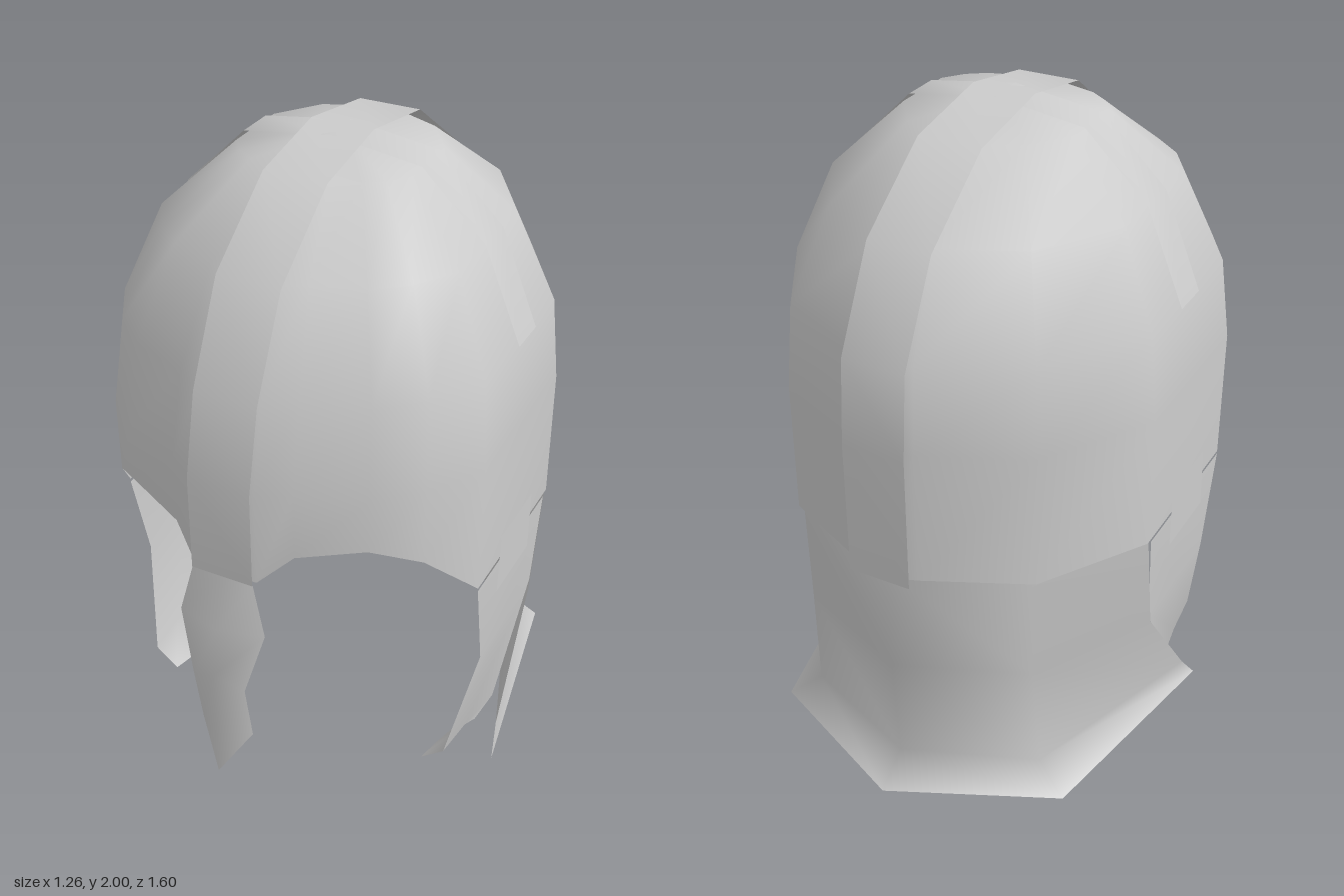
import * as THREE from 'three';
import { mergeVertices } from 'three/addons/utils/BufferGeometryUtils.js';

const metal = new THREE.MeshStandardMaterial({ color: 0xcccccc, side: THREE.DoubleSide });

// Smooth sheet through rows of [x, y, z] points
function sheet(name, rows) {
  const n = rows[0].length, index = [];
  for (let r = 0; r < rows.length - 1; r++) {
    for (let c = 0; c < n - 1; c++) {
      const a = r * n + c, b = a + 1, d = a + n, e = d + 1;
      index.push(a, d, b, b, d, e);
    }
  }
  let geo = new THREE.BufferGeometry();
  geo.setAttribute('position', new THREE.Float32BufferAttribute(rows.flat(2), 3));
  geo.setIndex(index);
  geo = mergeVertices(geo, 1e-4);
  geo.computeVertexNormals();
  const mesh = new THREE.Mesh(geo, metal);
  mesh.name = name;
  return mesh;
}

// Mirror a half row (centre first) to the full width
const mirrorRow = (half) => [...half.slice(1).reverse().map(([x, y, z]) => [-x, y, z]), ...half];

export function createModel() {
  const group = new THREE.Group();
  group.name = 'helmet';

  // Bowl: half plan outline from front to back as [x, z, rim height]
  const plan = [
    [0, 0.715, 0.93], [0.1, 0.705, 0.93], [0.19, 0.65, 1.01], [0.38, 0.58, 1.05],
    [0.5, 0.47, 0.98], [0.6, 0.3, 0.8], [0.6, -0.25, 0.8], [0.4, -0.57, 0.8],
    [0.1, -0.71, 0.8], [0, -0.745, 0.8],
  ];
  const outline = [...plan, ...plan.slice(0, -1).reverse().map(([x, z, y]) => [-x, z, y])];
  // Rings as [height, x scale, front scale, back scale]
  const rings = [
    [1.985, 0, 0, 0], [1.945, 0.45, 0.36, 0.41], [1.755, 0.77, 0.72, 0.77],
    [1.48, 0.958, 0.915, 0.97], [1.22, 1, 1, 1],
  ];
  const bowl = rings.map(([y, sx, sf, sb]) => outline.map(([x, z]) => [x * sx, y, z * (z > 0 ? sf : sb)]));
  bowl.push(outline.map(([x, z, y]) => [x, y, z]));
  group.add(sheet('bowl', bowl));

  // Reinforcing bands over the bowl, front to back and side to side
  const crest = [
    [0.93, 0.725], [1.23, 0.722], [1.48, 0.665], [1.76, 0.525], [1.95, 0.265], [2, -0.01],
    [1.95, -0.315], [1.76, -0.585], [1.48, -0.733], [1.22, -0.755], [0.8, -0.755],
  ];
  group.add(sheet('crestBand', crest.map(([y, z]) => [[-0.097, y, z], [0.097, y, z]])));
  const arch = [[0.586, 1.48], [0.47, 1.765], [0.275, 1.953], [0, 1.992], [-0.275, 1.953], [-0.47, 1.765], [-0.586, 1.48]];
  group.add(sheet('crossBand', arch.map(([x, y]) => [[x, y, -0.065], [x, y, 0.06]])));

  // Nose guard with a raised centre ridge, [edge x, edge y, edge z, ridge y, ridge z]
  const nose = [
    [0.097, 0.93, 0.722, 0.93, 0.725], [0.138, 0.77, 0.735, 0.77, 0.772], [0.085, 0.57, 0.77, 0.62, 0.8],
    [0.085, 0.37, 0.735, 0.4, 0.8], [0, 0.24, 0.8, 0.24, 0.8],
  ];
  group.add(sheet('noseGuard', nose.map(([x, y, z, cy, cz]) => mirrorRow([[0, cy, cz], [x, y, z]]))));

  // Neck guard flaring out at the bottom
  const neck = [
    [[0, 0.8, -0.72], [0.385, 0.8, -0.565], [0.598, 0.8, -0.24]],
    [[0, 0.45, -0.715], [0.385, 0.45, -0.555], [0.595, 0.45, -0.175]],
    [[0, 0.09, -0.69], [0.4, 0.09, -0.53], [0.612, 0.09, 0.09]],
    [[0, 0.01, -0.8], [0.5, 0.01, -0.57], [0.63, 0, 0.16]],
  ];
  group.add(sheet('neckGuard', neck.map(mirrorRow)));

  // Cheek guards curling inward at the bottom, with their hinge plates
  const cheek = [
    [[0.6, 0.79, 0.3], [0.6, 0.79, 0.03], [0.6, 0.79, -0.225]],
    [[0.595, 0.48, 0.23], [0.597, 0.48, 0.02], [0.592, 0.48, -0.185]],
    [[0.53, 0.14, 0.33], [0.545, 0.14, 0.18], [0.57, 0.14, 0.025]],
    [[0.455, 0.08, 0.33], [0.46, 0.04, 0.2], [0.535, 0.065, 0.08]],
  ];
  const plate = [
    [[0.607, 0.89, 0.15], [0.607, 0.89, -0.09]],
    [[0.607, 0.69, 0.16], [0.607, 0.69, -0.09]],
  ];
  for (const [side, label] of [[1, 'left'], [-1, 'right']]) {
    const place = (rows) => rows.map((row) => row.map(([x, y, z]) => [side * x, y, z]));
    group.add(sheet(label + 'CheekGuard', place(cheek)));
    group.add(sheet(label + 'HingePlate', place(plate)));
  }
  return group;
}
